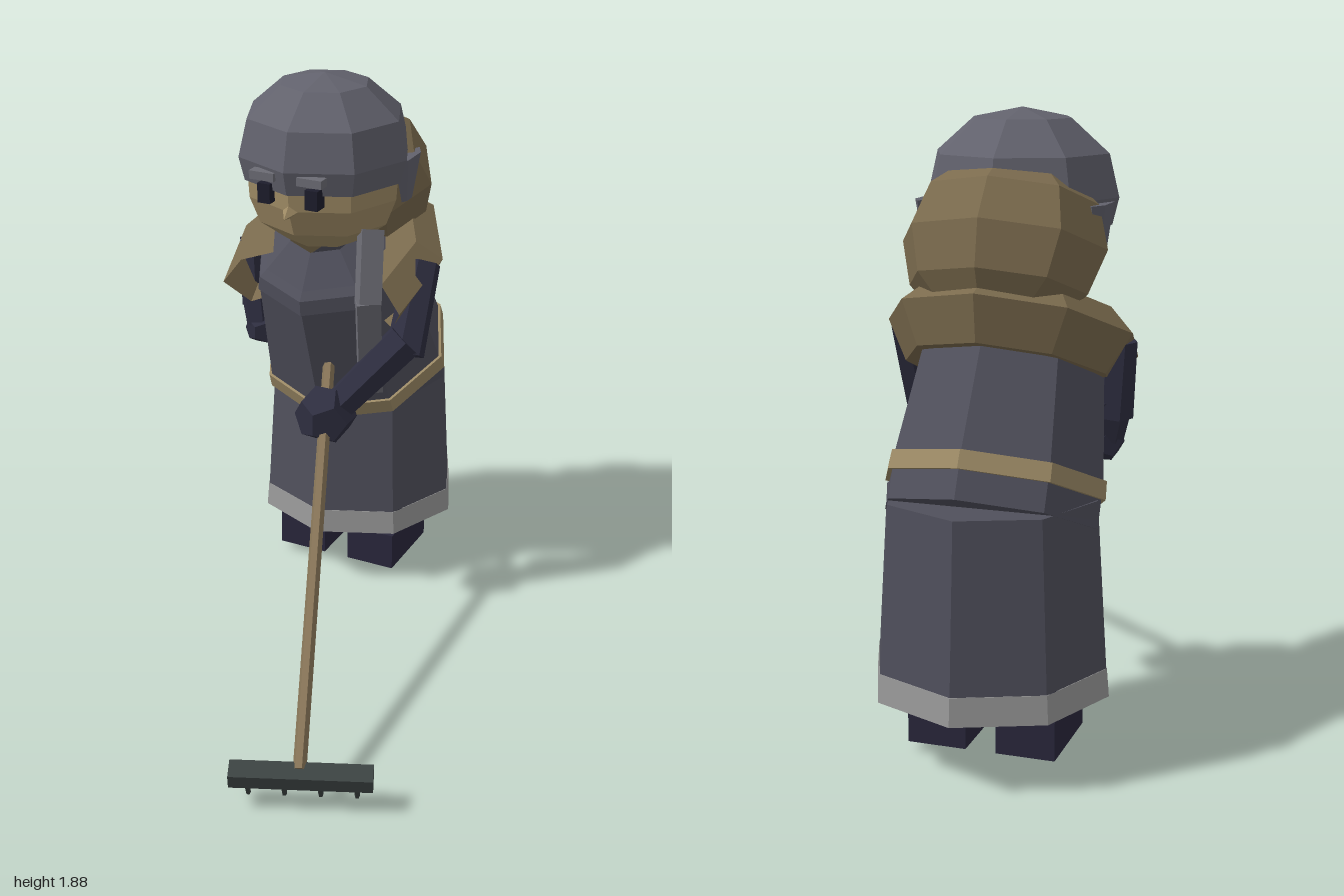
import * as THREE from 'three';

const mat = (color) => new THREE.MeshStandardMaterial({ color, flatShading: true, side: THREE.DoubleSide });
const M = {
  coat: mat(0x50505c), cap: mat(0x62626d), sleeve: mat(0x2e2e40), boot: mat(0x29273c),
  hem: mat(0x9a9a9a), band: mat(0x9c8a66), fur: mat(0x7b6b4e), skin: mat(0xa08c66),
  wood: mat(0x857356), iron: mat(0x3c4342), grey: mat(0x6c6c74), eye: mat(0x1d1d2b),
};
const V = (x, y, z) => new THREE.Vector3(x, y, z);
const CX = -0.18; // centre line of the figure

function add(parent, name, geo, material, x = 0, y = 0, z = 0) {
  const m = new THREE.Mesh(geo, material);
  m.name = name;
  m.position.set(x, y, z);
  parent.add(m);
  return m;
}

// Faceted body of revolution from [radius, height] pairs
function lathe(points, sides = 8, start = 0, length = Math.PI * 2) {
  return new THREE.LatheGeometry(points.map((p) => new THREE.Vector2(p[0], p[1])), sides, start, length);
}

// Places a y-aligned geometry so that it runs from a to b
function between(parent, name, a, b, makeGeo, material) {
  const d = b.clone().sub(a);
  const m = add(parent, name, makeGeo(d.length()), material);
  m.position.copy(a).addScaledVector(d, 0.5);
  m.quaternion.setFromUnitVectors(V(0, 1, 0), d.normalize());
  return m;
}
const prism = (r1, r2, sides = 6) => (len) => new THREE.CylinderGeometry(r2, r1, len, sides);
const bar = (w, d) => (len) => new THREE.BoxGeometry(w, len, d);

export function createModel() {
  const root = new THREE.Group();
  root.name = 'gardener';

  // Boots and legs
  for (const s of [-1, 1]) {
    const x = CX + s * 0.137;
    add(root, 'boot', new THREE.BoxGeometry(0.18, 0.135, 0.295), M.boot, x, 0.1, -0.585);
    between(root, 'leg', V(x, 0.15, -0.64), V(x, 0.4, -0.52), bar(0.14, 0.13), M.sleeve);
  }

  // Skirt with pale hem
  add(root, 'skirt', lathe([[0.353, 0.3], [0.322, 0.8], [0, 0.8]]), M.coat, CX, 0, -0.638);
  add(root, 'hem', lathe([[0, 0.215], [0.362, 0.215], [0.355, 0.3]]), M.hem, CX, 0, -0.638);

  // Upper body leans forward
  const torso = new THREE.Group();
  torso.name = 'upperBody';
  torso.position.set(CX, 0.72, -0.65);
  torso.rotation.x = 0.436;
  root.add(torso);
  add(torso, 'coat', lathe([[0, 0], [0.325, 0], [0.325, 0.14], [0.275, 0.55]]), M.coat);
  add(torso, 'belt', lathe([[0.32, 0.085], [0.338, 0.085], [0.335, 0.14], [0.31, 0.14]]), M.band);
  add(torso, 'coatCollar', lathe([[0.27, 0.55], [0.282, 0.55], [0.265, 0.6], [0.235, 0.62], [0.13, 0.7]]), M.coat);
  const scarf = add(torso, 'furCollar', lathe(
    [[0.2, 0.45], [0.335, 0.44], [0.41, 0.56], [0.325, 0.64], [0.2, 0.64], [0.2, 0.45]],
    6, Math.PI / 3, Math.PI * 4 / 3), M.fur);
  scarf.scale.x = 0.93;

  // Head, hair and cap
  const head = new THREE.Group();
  head.name = 'head';
  head.position.set(CX, 0, -0.345);
  root.add(head);
  add(head, 'face', lathe([[0, 1.32], [0.13, 1.33], [0.225, 1.4], [0.26, 1.49], [0.265, 1.57]]), M.skin);
  const hair = add(head, 'hair', new THREE.SphereGeometry(1, 8, 6), M.fur, 0, 1.5, -0.175);
  hair.scale.set(0.31, 0.265, 0.25);
  hair.rotation.x = 0.436;
  add(head, 'cap', lathe([[0.25, 1.56], [0.275, 1.55], [0.295, 1.63], [0.265, 1.755], [0.15, 1.855], [0, 1.885]]), M.cap);
  for (const s of [-1, 1]) {
    const flap = add(head, 'earFlap', new THREE.CylinderGeometry(0.1, 0.04, 0.15, 6), M.cap, s * 0.262, 1.545, -0.08);
    flap.scale.x = 0.3;
    add(head, 'eye', new THREE.BoxGeometry(0.045, 0.066, 0.05), M.eye, s * 0.085, 1.543, 0.245);
    add(head, 'eyebrow', new THREE.BoxGeometry(0.088, 0.028, 0.04), M.grey, s * 0.085, 1.605, 0.265);
  }
  const nose = add(head, 'nose', new THREE.ConeGeometry(0.04, 0.07, 4), M.skin, 0, 1.485, 0.26);
  nose.rotation.x = Math.PI / 2 + 0.35;

  // Arms: shoulder, elbow, hand
  const arms = [
    ['leftArm', V(0.14, 1.25, -0.44), V(0.15, 0.98, -0.28), V(-0.03, 0.81, -0.13), V(-0.06, 0.785, -0.11), 0.105],
    ['rightArm', V(-0.51, 1.23, -0.44), V(-0.49, 1.0, -0.42), V(-0.465, 0.93, -0.4), V(-0.455, 0.915, -0.4), 0.06],
  ];
  for (const [name, shoulder, elbow, wrist, hand, size] of arms) {
    const arm = new THREE.Group();
    arm.name = name;
    root.add(arm);
    const r = name === 'leftArm' ? 0.068 : 0.056;
    between(arm, 'upperArm', shoulder, elbow, prism(r * 0.9, r), M.sleeve);
    between(arm, 'forearm', elbow.clone().add(V(0, 0.05, 0)), wrist, prism(r, r * 0.85), M.sleeve);
    add(arm, 'mitten', new THREE.DodecahedronGeometry(size), M.sleeve, hand.x, hand.y, hand.z);
  }

  // Hanging strap in two flat pieces
  between(root, 'upperStrap', V(0.02, 1.4, -0.28), V(0.05, 1.17, -0.2), bar(0.075, 0.06), M.grey);
  between(root, 'lowerStrap', V(0.05, 1.18, -0.2), V(0.025, 0.82, -0.28), bar(0.08, 0.04), M.grey);

  // Rake
  const rake = new THREE.Group();
  rake.name = 'rake';
  root.add(rake);
  between(rake, 'handle', V(-0.14, 0.91, -0.3), V(0.345, 0.135, 0.88), prism(0.021, 0.021), M.wood);
  const rakeHead = new THREE.Group();
  rakeHead.name = 'rakeHead';
  rakeHead.position.set(0.352, 0.12, 0.885);
  rakeHead.rotation.y = 0.4;
  rake.add(rakeHead);
  const crossbar = add(rakeHead, 'crossbar', new THREE.BoxGeometry(0.43, 0.05, 0.065), M.iron);
  crossbar.rotation.x = 0.25;
  for (let i = 0; i < 4; i++) {
    const x = -0.165 + i * 0.11;
    between(rakeHead, 'tine', V(x, 0, 0), V(x, -0.115, -0.06), prism(0.012, 0.008, 5), M.iron);
  }
  return root;
}
